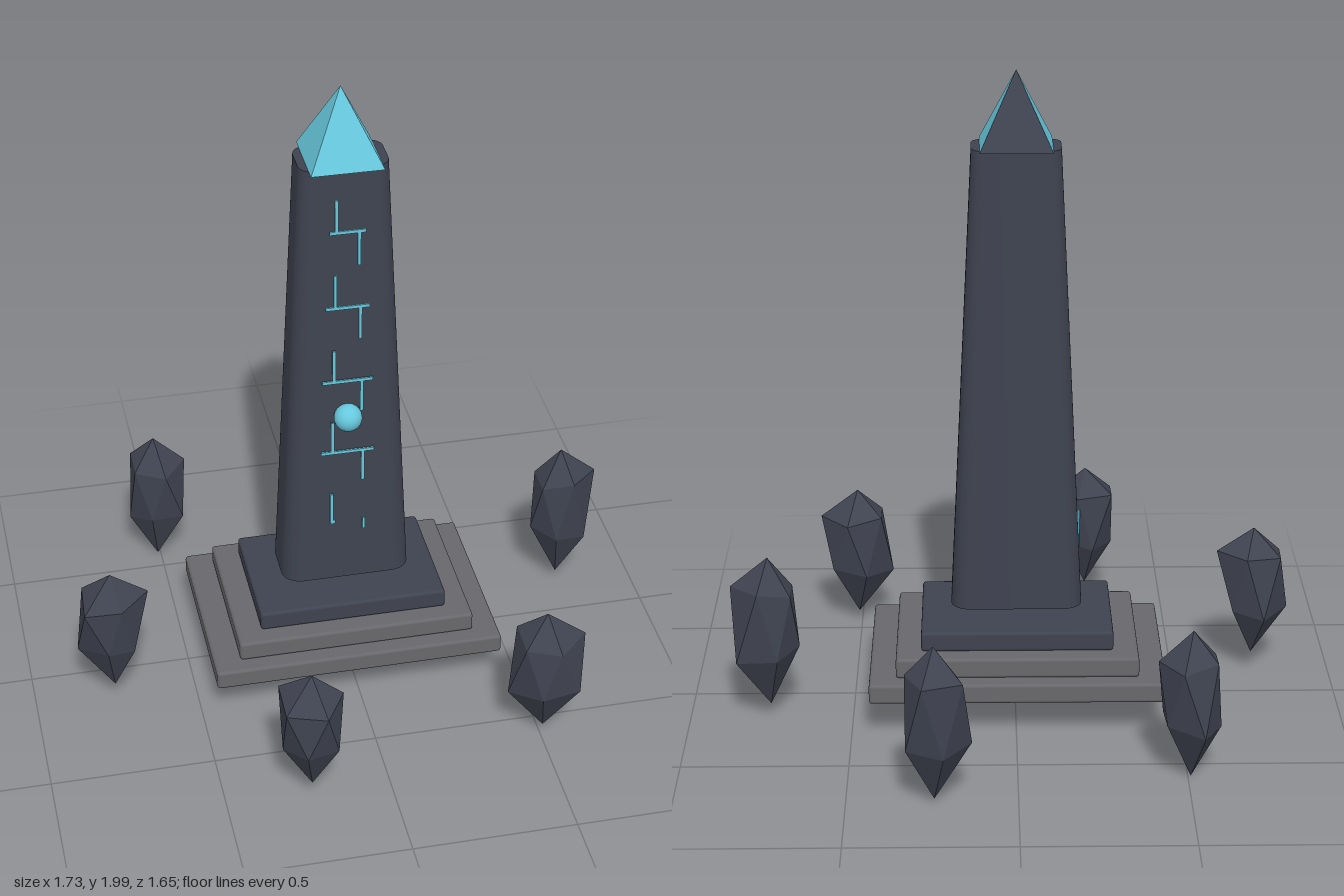
import * as THREE from 'three';
import { toCreasedNormals } from 'three/addons/utils/BufferGeometryUtils.js';
import { RoundedBoxGeometry } from 'three/addons/geometries/RoundedBoxGeometry.js';

const mat = (name, color) => {
  const m = new THREE.MeshStandardMaterial({ color });
  m.name = name;
  return m;
};

export function createModel() {
  const group = new THREE.Group();
  const stone = mat('darkStone', 0x3f4350);
  const step = mat('greyStone', 0x68686c);
  const glow = mat('cyanGlow', 0x67c9de);

  const add = (name, geometry, material, x = 0, y = 0, z = 0, parent = group) => {
    const mesh = new THREE.Mesh(geometry, material);
    mesh.name = name;
    mesh.position.set(x, y, z);
    parent.add(mesh);
    return mesh;
  };

  // Stepped base: width, depth, bottom, top
  const slab = (name, w, d, y0, y1, m) =>
    add(name, new RoundedBoxGeometry(w, y1 - y0, d, 2, 0.01), m, -0.004, (y0 + y1) / 2, -0.005);
  slab('lowerStep', 0.9, 0.617, 0.12, 0.182, step);
  slab('upperStep', 0.738, 0.52, 0.182, 0.245, step);
  slab('plinth', 0.585, 0.408, 0.245, 0.307, stone);

  // Tapered shaft with rounded corners, hovering above the plinth
  const bottom = 0.342, height = 1.433, hw = 0.2, hd = 0.108, r = 0.06;
  const outline = new THREE.Shape();
  outline.absarc(hw - r, hd - r, r, 0, Math.PI / 2);
  outline.absarc(-hw + r, hd - r, r, Math.PI / 2, Math.PI);
  outline.absarc(-hw + r, -hd + r, r, Math.PI, Math.PI * 1.5);
  outline.absarc(hw - r, -hd + r, r, Math.PI * 1.5, Math.PI * 2);
  outline.closePath();
  const shaft = new THREE.ExtrudeGeometry(outline, { depth: height, bevelEnabled: false, curveSegments: 6 });
  shaft.rotateX(-Math.PI / 2);
  const p = shaft.attributes.position;
  for (let i = 0; i < p.count; i++) {
    const t = p.getY(i) / height;
    p.setX(i, p.getX(i) * (1 - 0.335 * t));
    p.setZ(i, p.getZ(i) * (1 - 0.28 * t));
  }
  add('shaft', toCreasedNormals(shaft, 0.6), stone, -0.003, bottom, -0.003);

  // Pyramid cap: glowing front and sides, dark back and underside
  const cap = new THREE.ConeGeometry(0.108 * Math.SQRT2, 0.225, 4).rotateY(Math.PI / 4).toNonIndexed();
  cap.computeVertexNormals();
  cap.clearGroups();
  const n = cap.attributes.normal;
  for (let i = 0; i < n.count; i += 3) {
    const dark = n.getZ(i) < -0.5 || n.getY(i) < -0.5;
    cap.addGroup(i, 3, dark ? 1 : 0);
  }
  add('cap', cap, [glow, stone], -0.003, 1.8875, -0.003);

  // Rune lines: left x, right x, bar half width, top, middle, bottom
  const runes = new THREE.Group();
  runes.name = 'runes';
  group.add(runes);
  const line = (x, y, w, h) => add('runeLine', new THREE.BoxGeometry(w, h, 0.006), glow, x, y, 0.103, runes);
  [
    [-0.037, 0.03, 0.054, 1.69, 1.583, 1.47],
    [-0.041, 0.034, 0.066, 1.44, 1.328, 1.217],
    [-0.045, 0.039, 0.077, 1.18, 1.07, 0.96],
    [-0.05, 0.043, 0.082, 0.925, 0.815, 0.705],
  ].forEach(([xl, xr, half, top, mid, low]) => {
    line(xl, (top + mid) / 2, 0.01, top - mid);
    line(-0.004, mid, half * 2, 0.01);
    line(xr, (mid + low) / 2, 0.01, mid - low);
  });
  // Worn lowest rune
  line(-0.053, 0.605, 0.01, 0.11);
  line(-0.05, 0.557, 0.016, 0.01);
  line(0.047, 0.54, 0.008, 0.04);

  add('orb', new THREE.SphereGeometry(0.043, 24, 16), glow, -0.004, 0.943, 0.11);

  // Irregular crystal: upper and lower five-sided rings between two points
  const crystalGeometry = (top, low, radii) => {
    const h = top - low;
    const ring = radii.map((rad, i) => {
      const a = i * Math.PI / 5;
      const y = low + h * ((i % 2 ? 0.37 : 0.79) + 0.03 * Math.sin(i * 2.3 + top * 40));
      return [Math.cos(a) * rad, y, Math.sin(a) * rad];
    });
    const pos = [];
    const tri = (...pts) => pts.forEach((q) => pos.push(...q));
    for (let i = 0; i < 10; i++) {
      const a = ring[i], b = ring[(i + 1) % 10], c = ring[(i + 2) % 10];
      if (i % 2) {
        tri(a, b, c);
        tri(a, c, [0, low, 0]);
      } else {
        tri(a, c, b);
        tri(a, [0, top, 0], c);
      }
    }
    const g = new THREE.BufferGeometry();
    g.setAttribute('position', new THREE.Float32BufferAttribute(pos, 3));
    g.computeVertexNormals();
    return g;
  };

  // Six crystals circling the shaft: top, bottom, radii around the axis
  [
    [0.535, 0.05, [0.115, 0.092, 0.083, 0.078, 0.087, 0.092, 0.087, 0.092, 0.092, 0.12]],
    [0.47, 0.04, [0.12, 0.115, 0.088, 0.092, 0.097, 0.115, 0.097, 0.092, 0.1, 0.1]],
    [0.485, 0.075, [0.095, 0.088, 0.1, 0.09, 0.108, 0.088, 0.108, 0.08, 0.08, 0.083]],
    [0.5, 0.075, [0.115, 0.075, 0.078, 0.075, 0.11, 0.11, 0.1, 0.097, 0.083, 0.08]],
    [0.475, 0.01, [0.1, 0.1, 0.087, 0.07, 0.087, 0.087, 0.087, 0.107, 0.1, 0.092]],
    [0.5, 0.02, [0.083, 0.07, 0.083, 0.07, 0.08, 0.11, 0.105, 0.09, 0.106, 0.1]],
  ].forEach(([top, low, radii], i) => {
    const a = THREE.MathUtils.degToRad(-11.5 + 60 * i);
    const x = Math.cos(a), z = Math.sin(a);
    add('crystal', crystalGeometry(top, low, radii), stone, x * 0.768, 0, z * 0.768);
    // Glowing sliver on the inward side
    if (i === 2 || i === 5) {
      const sliver = add('crystalSliver', new THREE.BoxGeometry(0.008, 0.13, 0.012), glow, x * 0.687, 0.3, z * 0.687);
      sliver.rotation.y = -a;
    }
  });

  return group;
}
